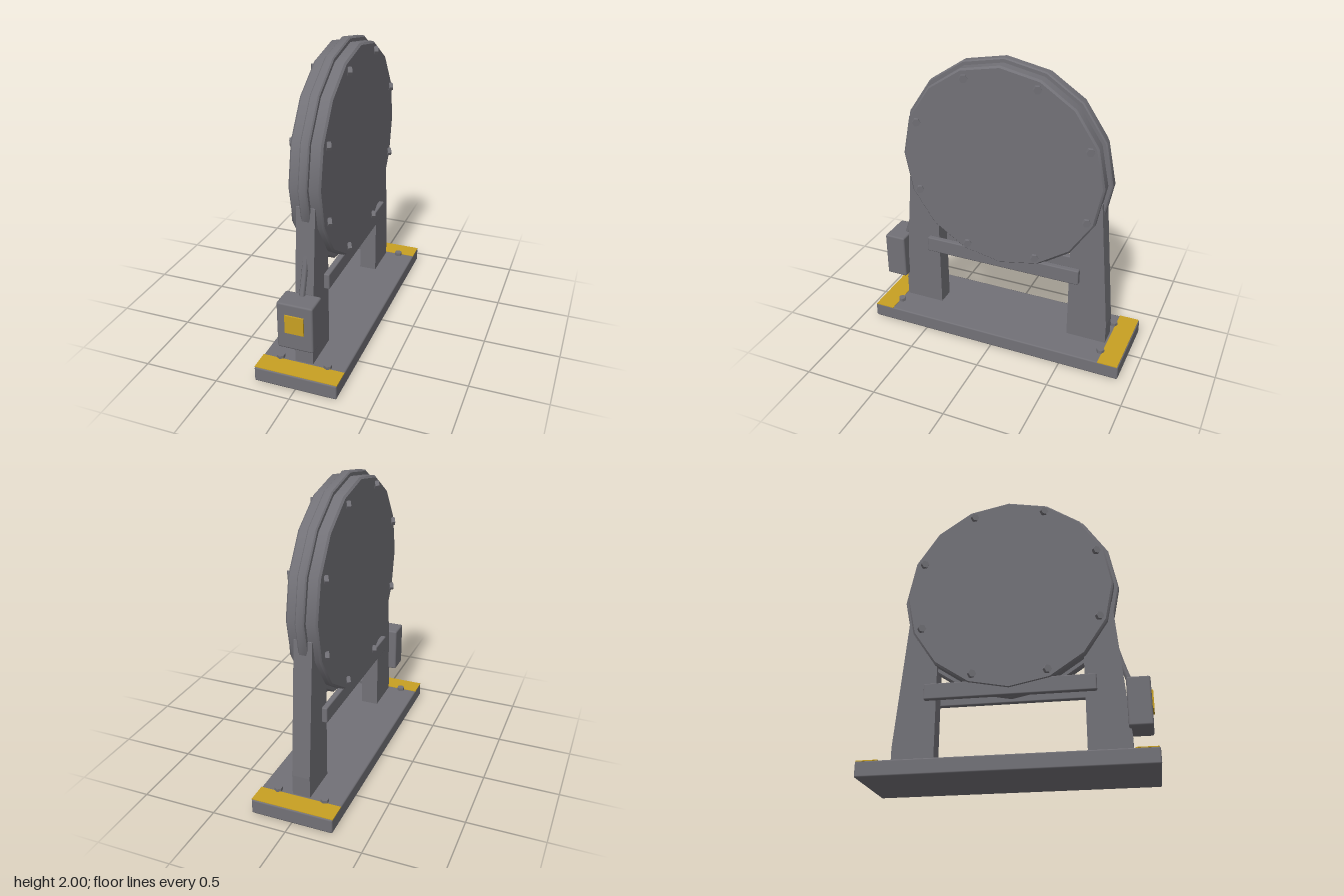
import * as THREE from 'three';
import { toCreasedNormals } from 'three/addons/utils/BufferGeometryUtils.js';
import { RoundedBoxGeometry } from 'three/addons/geometries/RoundedBoxGeometry.js';

export function createModel() {
  const model = new THREE.Group();
  const steel = new THREE.MeshStandardMaterial({ color: 0x727177 });
  steel.name = 'steelGrey';
  const yellow = new THREE.MeshStandardMaterial({ color: 0xc8a022 });
  yellow.name = 'safetyYellow';

  function add(name, geometry, material, x = 0, y = 0, z = 0) {
    const mesh = new THREE.Mesh(geometry, material);
    mesh.name = name;
    mesh.position.set(x, y, z);
    model.add(mesh);
    return mesh;
  }
  const roundBox = (w, h, d, r) => new RoundedBoxGeometry(w, h, d, 1, r);

  // Sixteen-sided bevelled wheel lying along x
  function wheel(radius, halfWidth, bevel) {
    const profile = [
      [0, -halfWidth], [radius - bevel, -halfWidth], [radius, -halfWidth + bevel],
      [radius, halfWidth - bevel], [radius - bevel, halfWidth], [0, halfWidth],
    ].map(([r, y]) => new THREE.Vector2(r, y));
    const geometry = new THREE.LatheGeometry(profile, 16).rotateZ(Math.PI / 2);
    return toCreasedNormals(geometry, Math.PI / 6);
  }

  // Hexagonal bolt head standing on y = 0
  function hexBolt(height) {
    const g = new THREE.CylinderGeometry(0.027, 0.027, height, 6);
    return toCreasedNormals(g.translate(0, height / 2, 0), 0.5);
  }

  // Base plate
  add('basePlate', roundBox(0.55, 0.1, 1.82, 0.01), steel, 0, 0.05, 0);

  // Drum and its raised centre rim
  const hub = 1.275;
  add('drum', wheel(0.697, 0.102, 0.012), steel, 0, hub, 0);
  add('rim', wheel(0.727, 0.03, 0.008), steel, 0, hub, 0);

  // Bolts around both drum faces
  for (const side of [-1, 1]) {
    for (let i = 0; i < 8; i++) {
      const a = Math.PI / 8 + i * Math.PI / 4;
      const bolt = add('drumBolt', hexBolt(0.026), steel,
        side * 0.1, hub + 0.637 * Math.sin(a), 0.637 * Math.cos(a));
      bolt.rotation.z = -side * Math.PI / 2;
      bolt.rotation.y = Math.PI / 6;
    }
  }

  // Tapered upright, outline drawn as (z, y) and extruded along x
  const outline = new THREE.Shape([
    [0.48, 0.095], [0.755, 0.095], [0.755, 0.24], [0.677, 1.15], [0.56, 1.2], [0.48, 1.15],
  ].map(([z, y]) => new THREE.Vector2(z, y)));
  const postGeometry = new THREE.ExtrudeGeometry(outline, { depth: 0.12, bevelEnabled: false })
    .translate(0, 0, -0.06).rotateY(-Math.PI / 2);

  for (const end of [1, -1]) {
    const name = end > 0 ? 'front' : 'rear';
    add(name + 'Post', postGeometry, steel).rotation.y = end > 0 ? 0 : Math.PI;
    add(name + 'Stripe', new THREE.BoxGeometry(0.55, 0.006, 0.135), yellow, 0, 0.1, end * 0.8355);
    for (const x of [-0.16, 0.16]) {
      add(name + 'BaseBolt', hexBolt(0.025), steel, x, 0.098, end * 0.755);
    }
  }

  // Cross bars beside the posts
  for (const side of [-1, 1]) {
    add('crossBar', roundBox(0.04, 0.107, 1.11, 0.008), steel, side * 0.076, 0.592, 0);
  }

  // Control box with button, and the cable rising into the front post
  add('controlBox', roundBox(0.235, 0.317, 0.15, 0.012), steel, 0, 0.442, 0.81);
  add('button', new THREE.BoxGeometry(0.122, 0.122, 0.012), yellow, 0, 0.465, 0.89);
  const cable = new THREE.CatmullRomCurve3([
    new THREE.Vector3(0, 0.57, 0.77),
    new THREE.Vector3(0, 0.72, 0.72),
    new THREE.Vector3(0, 0.92, 0.665),
  ]);
  add('cable', new THREE.TubeGeometry(cable, 8, 0.02, 6), steel);

  return model;
}
